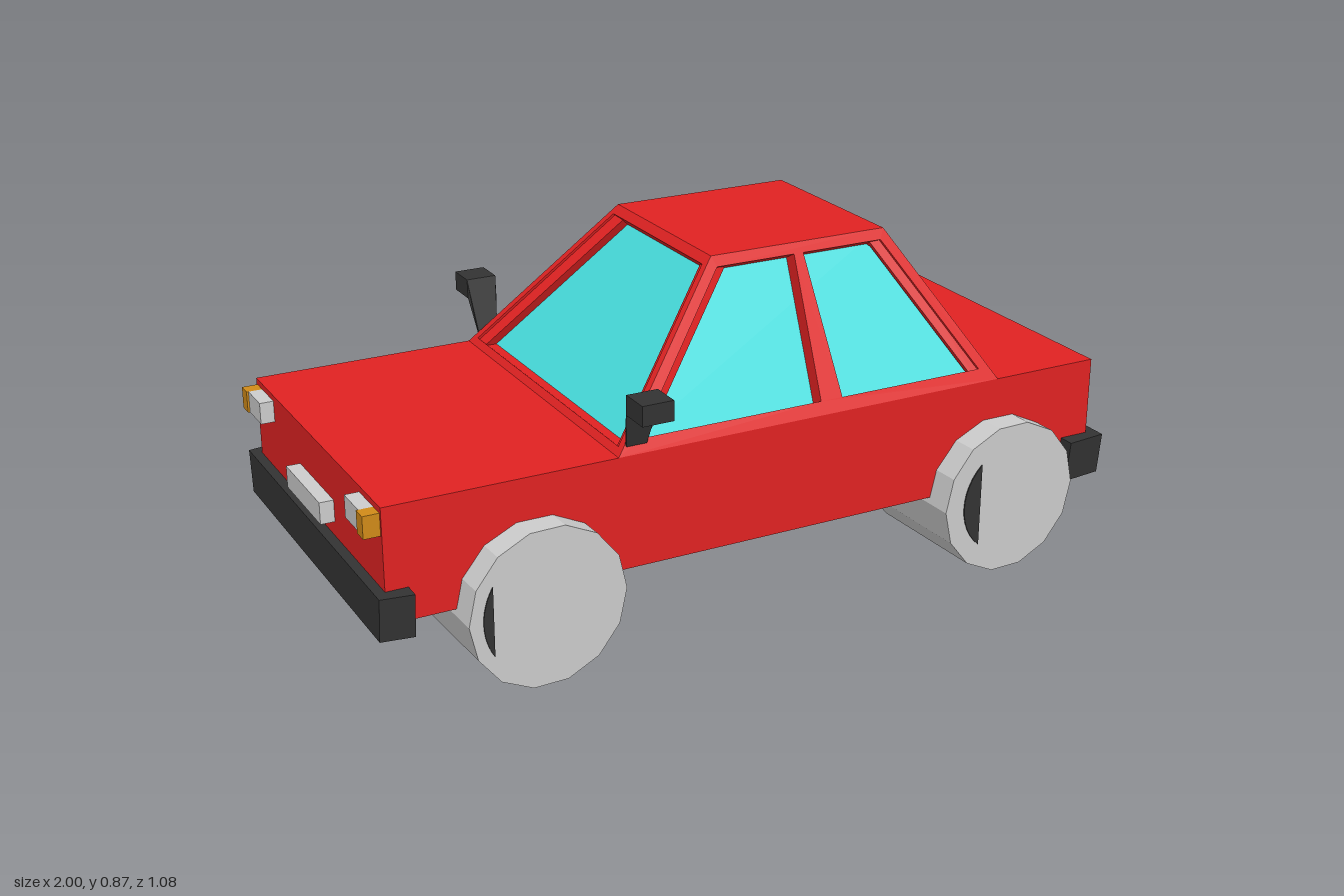
import * as THREE from 'three';

const mat = (color, extra = {}) =>
  new THREE.MeshStandardMaterial({ color, flatShading: true, ...extra });

export function createModel() {
  const car = new THREE.Group();
  car.name = 'car';
  const red = mat(0xe02222);
  const glass = mat(0x48e0e0, { side: THREE.DoubleSide });
  const dark = mat(0x333333);
  const grey = mat(0xcccccc);
  const orange = mat(0xd08a18);

  const add = (name, geometry, material, parent = car) => {
    const mesh = new THREE.Mesh(geometry, material);
    mesh.name = name;
    parent.add(mesh);
    return mesh;
  };
  // Box given by its lower and upper limits on each axis
  const box = (name, [x0, x1], [y0, y1], [z0, z1], material) => {
    const g = new THREE.BoxGeometry(x1 - x0, y1 - y0, z1 - z0);
    g.translate((x0 + x1) / 2, (y0 + y1) / 2, (z0 + z1) / 2);
    return add(name, g, material);
  };
  const points = (list) => list.map(([a, b]) => new THREE.Vector2(a, b));

  // Lower body and roof
  box('body', [-0.96, 0.97], [0.215, 0.5], [-0.44, 0.44], red);
  box('roof', [-0.04, 0.445], [0.845, 0.875], [-0.245, 0.245], red);

  // Sloped cabin wall: window frame with openings and a recessed pane.
  // Outlines hold a horizontal offset and a height above the ground.
  const baseY = 0.5, rise = 0.375;
  const cabinWall = (name, origin, across, slope, outline, openings) => {
    const u = new THREE.Vector3(...across);
    const v = new THREE.Vector3(...slope);
    const stretch = v.length() / rise;
    v.normalize();
    const n = new THREE.Vector3().crossVectors(u, v);
    const flat = (list) => points(list.map(([h, y]) => [h, (y - baseY) * stretch]));
    const matrix = new THREE.Matrix4().makeBasis(u, v, n).setPosition(...origin);

    const frame = new THREE.Shape(flat(outline));
    frame.holes = openings.map((o) => new THREE.Path(flat(o)));
    const depth = 0.05;
    const frameGeo = new THREE.ExtrudeGeometry(frame, { depth, bevelEnabled: false });
    frameGeo.translate(0, 0, -depth).applyMatrix4(matrix);
    add(name + 'Frame', frameGeo, red);

    const pane = new THREE.ShapeGeometry(new THREE.Shape(flat(outline)));
    pane.translate(0, 0, -0.04).applyMatrix4(matrix);
    add(name + 'Glass', pane, glass);
  };

  const endOutline = [[-0.44, 0.5], [0.44, 0.5], [0.245, 0.875], [-0.245, 0.875]];
  const endOpening = [[-0.41, 0.515], [0.41, 0.515], [0.235, 0.855], [-0.235, 0.855]];
  cabinWall('windscreen', [-0.385, baseY, 0], [0, 0, 1], [0.345, rise, 0], endOutline, [endOpening]);
  cabinWall('rearWindow', [0.675, baseY, 0], [0, 0, -1], [-0.23, rise, 0], endOutline, [endOpening]);

  const sideOutline = [[-0.385, 0.5], [0.675, 0.5], [0.445, 0.875], [-0.04, 0.875]];
  const sideOpenings = [
    [[-0.322, 0.53], [0.165, 0.53], [0.182, 0.85], [-0.03, 0.85]],
    [[0.225, 0.53], [0.626, 0.53], [0.43, 0.85], [0.208, 0.85]],
  ];

  // Tilted wheel with a dark sliver of hub on its outer face
  const tilt = 0.038;
  const wheel = (name, x, side, hubRadius, chord) => {
    const group = new THREE.Group();
    group.name = name;
    const tyre = new THREE.CylinderGeometry(0.2, 0.2, 0.35, 14);
    tyre.rotateY(Math.PI / 14).rotateX(Math.PI / 2);
    add('tyre', tyre, grey, group);

    const half = Math.acos(chord / hubRadius);
    const mid = side > 0 ? Math.PI : 0;
    const sliver = new THREE.Shape();
    sliver.absarc(0, 0, hubRadius, mid - half, mid + half, false);
    const hub = new THREE.ExtrudeGeometry(sliver, { depth: 0.006, bevelEnabled: false, curveSegments: 6 });
    hub.translate(0, 0, 0.172);
    add('hub', hub, dark, group);

    group.position.set(x, 0.2, side * 0.33);
    group.rotation.y = side > 0 ? tilt : Math.PI - tilt;
    car.add(group);
  };

  // Parts repeated on both sides
  for (const s of [1, -1]) {
    const label = s > 0 ? 'left' : 'right';
    const flip = (list) => list.map(([h, y]) => [s * h, y]);
    cabinWall(label + 'Window', [0, baseY, s * 0.44], [s, 0, 0], [0, rise, -s * 0.195],
      flip(sideOutline), sideOpenings.map(flip));

    wheel(label + 'FrontWheel', -0.602, s, 0.165, 0.14);
    wheel(label + 'RearWheel', 0.678, s, 0.145, 0.095);

    // Lamps
    const span = (a, b) => (s > 0 ? [a, b] : [-b, -a]);
    box(label + 'Headlight', [-0.995, -0.95], [0.43, 0.485], span(0.305, 0.395), grey);
    box(label + 'Indicator', [-1, -0.95], [0.43, 0.485], span(0.395, 0.433), orange);

    // Wing mirror: head and bent arm, the arm narrowing towards its foot
    const profile = [[0.54, 0.66], [0.461, 0.66], [0.425, 0.52], [0.433, 0.52], [0.458, 0.61], [0.54, 0.61]];
    const mirror = new THREE.ExtrudeGeometry(
      new THREE.Shape(points(profile.map(([z, y]) => [-s * z, y]))),
      { depth: 0.08, bevelEnabled: false });
    mirror.translate(0, 0, -0.04).rotateY(Math.PI / 2);
    // rotateY sends the shape's x to -z and the extrusion to x
    const p = mirror.attributes.position;
    for (let i = 0; i < p.count; i++) if (p.getY(i) < 0.6) p.setX(i, p.getX(i) * 0.65);
    mirror.translate(-0.335, 0, 0);
    mirror.computeVertexNormals();
    add(label + 'Mirror', mirror, dark);
  }

  // Bumpers, narrowing towards the outside and the bottom
  const bumper = (name, inner, outer) => {
    const mesh = box(name, [Math.min(inner, outer), Math.max(inner, outer)], [0.187, 0.297], [-0.482, 0.482], dark);
    const p = mesh.geometry.attributes.position;
    for (let i = 0; i < p.count; i++) {
      let z = 0.482;
      if (Math.abs(p.getX(i) - outer) < 0.01) z -= 0.012;
      if (p.getY(i) < 0.2) z -= 0.012;
      p.setZ(i, Math.sign(p.getZ(i)) * z);
    }
    mesh.geometry.computeVertexNormals();
  };
  bumper('frontBumper', -0.905, -0.985);
  bumper('rearBumper', 0.89, 1);

  // Blank plate on the nose
  box('frontPlate', [-0.995, -0.95], [0.335, 0.39], [-0.12, 0.12], grey);

  return car;
}
